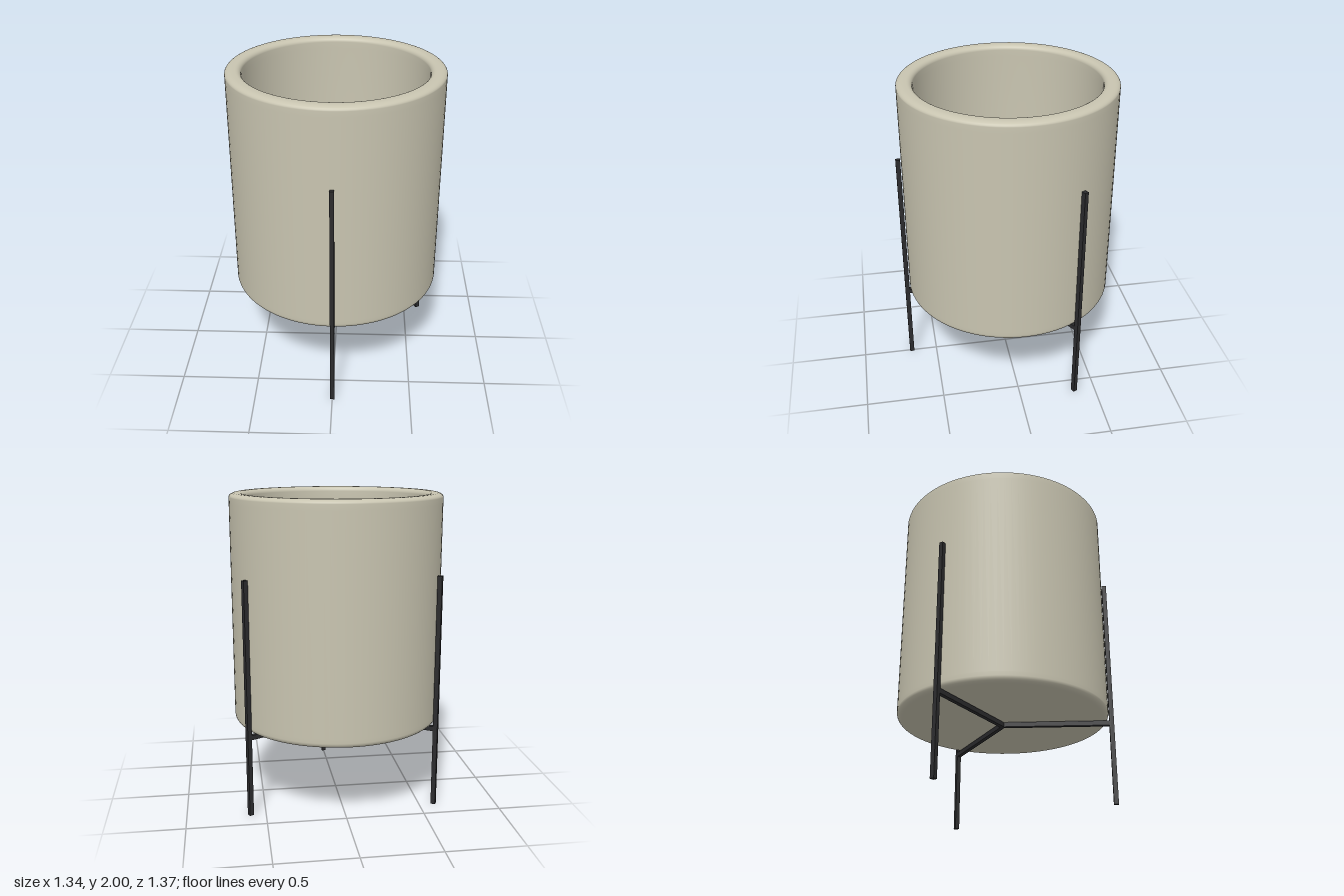
import * as THREE from 'three';

const CENTRE_Z = -0.017;
const LEG_RADIUS = 0.689;

// Quarter-ellipse corner points, centre (cx, cy), from angle a0 to a1 in degrees
function corner(cx, cy, rx, ry, a0, a1, steps) {
  const pts = [];
  for (let i = 0; i <= steps; i++) {
    const a = THREE.MathUtils.degToRad(a0 + ((a1 - a0) * i) / steps);
    pts.push(new THREE.Vector2(cx + rx * Math.cos(a), cy + ry * Math.sin(a)));
  }
  return pts;
}

export function createModel() {
  const ceramic = new THREE.MeshStandardMaterial({ color: 0xc8c4b0 });
  ceramic.name = 'stone beige';
  const metal = new THREE.MeshStandardMaterial({ color: 0x2b2b2d });
  metal.name = 'black metal';

  const model = new THREE.Group();
  model.name = 'planterOnStand';

  // Pot: underside, outer wall, rounded rim, inner wall and softly rounded floor
  const profile = [
    new THREE.Vector2(0, 0.537),
    new THREE.Vector2(0.1, 0.54),
    new THREE.Vector2(0.6, 0.54),
    ...corner(0.632, 0.575, 0.038, 0.035, -90, 0, 6),
    new THREE.Vector2(0.67, 0.6),
    new THREE.Vector2(0.67, 1.94),
    ...corner(0.625, 1.975, 0.045, 0.025, 0, 90, 6),
    ...corner(0.607, 1.97, 0.035, 0.03, 90, 180, 6),
    new THREE.Vector2(0.572, 1.93),
    ...corner(0.432, 0.88, 0.14, 0.16, 0, -90, 2),
    new THREE.Vector2(0, 0.72),
  ];
  const pot = new THREE.Mesh(new THREE.LatheGeometry(profile, 96), ceramic);
  pot.name = 'pot';
  pot.position.z = CENTRE_Z;
  model.add(pot);

  // Stand: three square legs joined by bars meeting under the pot
  const stand = new THREE.Group();
  stand.name = 'stand';
  stand.position.z = CENTRE_Z;
  const legGeometry = new THREE.BoxGeometry(0.027, 1.51, 0.029);
  const barGeometry = new THREE.BoxGeometry(0.027, 0.03, LEG_RADIUS);
  ['front', 'backLeft', 'backRight'].forEach((side, i) => {
    const arm = new THREE.Group();
    arm.name = side + 'Support';
    arm.rotation.y = (i * Math.PI * 2) / 3;
    const leg = new THREE.Mesh(legGeometry, metal);
    leg.name = side + 'Leg';
    leg.position.set(0, 0.755, LEG_RADIUS);
    const bar = new THREE.Mesh(barGeometry, metal);
    bar.name = side + 'Bar';
    bar.position.set(0, 0.52, LEG_RADIUS / 2);
    arm.add(leg, bar);
    stand.add(arm);
  });
  model.add(stand);

  return model;
}
